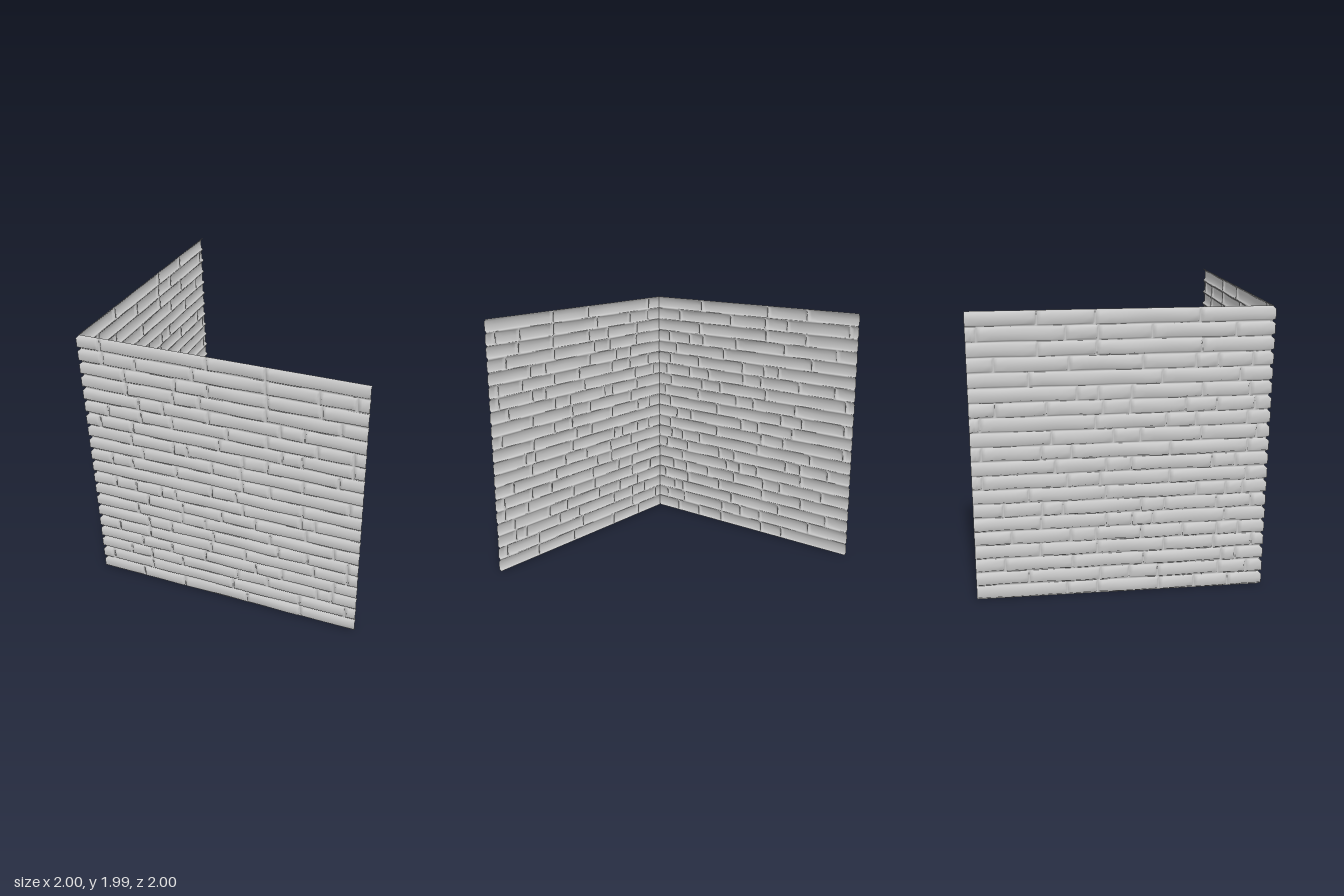
import * as THREE from 'three';
import { mergeGeometries } from 'three/addons/utils/BufferGeometryUtils.js';

const BASE = 0.979, RELIEF = 0.015, ROW = 0.0995;

// vertical joints of each course, bottom course first
const FRONT_JOINTS = [
  [-.66, -.32, .18, .59], [-.91, -.58, .07, .58, .92], [-.75, -.58, -.33, .11, .34, .71, .82],
  [-.65, -.41, -.14, .25, .45, .83], [-.83, -.58, -.09, .17, .68, .92], [-.58, -.4, -.07, .42, .63, .92],
  [-.66, -.31, -.13, .36, .82], [-.57, -.3, 0, .25, .62], [-.82, -.66, -.46, -.35, .16, .58, .68],
  [-.07, .11, .59], [-.83, -.67, -.33, .16, .36, .91], [-.58, -.06, .15, .59],
  [-.66, -.34, -.24, .17, .34, .83], [-.89, -.64, 0, .44, .58, .92], [-.82, -.57, -.34, .06, .34, .68, .92],
  [-.58, -.4, -.07, .43, .59], [-.66, -.32, -.13, .33, .83], [-.67, -.3, -.07, .34, .7],
  [-.82, -.58, -.17, .33, .68, .92], [-.83, -.07, .33],
];
const SIDE_JOINTS = [
  [-.38, -.17, .26, .51, .75], [-.64, -.15, .05, .25, .68, .88], [-.8, -.34, .15, .7, .8],
  [-.56, -.17, .29, .64, .91], [-.75, -.35, -.18, .13, .42, .66, .81], [-.55, -.11, .07, .21, .71],
  [-.8, -.54, -.4, .13, .29, .65, .89], [-.63, -.11, .51, .71, .83], [-.93, -.37, -.15, .32, .85],
  [-.45, -.11, .06, .61, .77], [-.93, -.54, -.34, .32, .85], [-.47, -.06, .12, .53, .91],
  [-.93, -.18, .29, .49, .84], [-.83, -.5, -.13, .05, .42, .63, .89], [-.3, -.16, .06, .53, .85],
  [-.61, .26, .78], [-.83, -.35, .13, .48, .63, .86], [-.55, -.17, .52],
  [-.93, -.37, -.16, .19, .74], [-.55, -.18, .5],
];

function seeded(seed) {
  return () => {
    seed = (seed * 16807) % 2147483647;
    return seed / 2147483647;
  };
}

// One raised brick with its half of the surrounding mortar, as a grid patch
function brick(u0, u1, y0, place, corner, rand) {
  // columns and rows as [position, height 0..1, is it a soft edge]
  const cols = u0 === -1 ? [[u0, 1]] : [[u0, 0], [u0 + .005, 0], [u0 + .015, 1]];
  const first = u0 + .03, last = u1 - .03;
  const n = Math.max(1, Math.round((last - first) / .06));
  for (let i = 0; i <= n; i++) cols.push([first + (last - first) * i / n, 1]);
  cols.push(...(u1 === 1 ? [[u1, 1]] : [[u1 - .015, 1], [u1 - .005, 0], [u1, 0]]));
  const rows = [[0, 0], [.005, 0], [.015, 1], [.05, 1], [.08, 1], [.094, 0], [ROW, 0]];

  const depth = .8 + .2 * rand(), tilt = (rand() - .5) * .012, phase = rand() * 6;
  const slant = (rand() - .5) * .1, pos = [], index = [];
  cols.forEach(([u, hu]) => rows.forEach(([v, hv], j) => {
    const edge = j > 0 && j < rows.length - 1;
    const t = (u - u0) / (u1 - u0) - .5;
    const wave = edge ? Math.sin(u * 13 + phase) * .002 + tilt * t * .6 : 0;
    const atEnd = Math.abs(u) === 1;
    const lean = edge && !atEnd && u > u0 && u < u1 ? slant * (v - ROW / 2) : 0;
    const wear = 1 - .1 * (1 + Math.sin(u * 9 + v * 30 + phase));
    const h = hu * hv * RELIEF * (u === corner ? 1 : depth * wear + .1);
    pos.push(...place(u === corner ? corner * (BASE + h) : u + lean, y0 + v + wave, BASE + h));
  }));
  const m = rows.length;
  for (let i = 0; i < cols.length - 1; i++) {
    for (let j = 0; j < m - 1; j++) {
      const a = i * m + j, b = a + m;
      index.push(a, b, b + 1, a, b + 1, a + 1);
    }
  }
  const geo = new THREE.BufferGeometry();
  geo.setAttribute('position', new THREE.Float32BufferAttribute(pos, 3));
  geo.setIndex(index);
  geo.computeVertexNormals();
  return geo;
}

// A sheet of brick courses; place maps (along, up, outward) to x, y, z
function wall(name, courses, place, corner, seed, material) {
  const rand = seeded(seed), parts = [];
  courses.forEach((joints, r) => {
    const ends = [-1, ...joints, 1];
    for (let i = 0; i < ends.length - 1; i++) {
      parts.push(brick(ends[i], ends[i + 1], r * ROW, place, corner, rand));
    }
  });
  const mesh = new THREE.Mesh(mergeGeometries(parts), material);
  mesh.name = name;
  return mesh;
}

export function createModel() {
  const group = new THREE.Group();
  group.name = 'brickCorner';
  const material = new THREE.MeshStandardMaterial({ color: 0xcccccc, side: THREE.DoubleSide });
  // front wall faces +z, side wall faces -x; they meet at x = -1, z = 1
  group.add(wall('frontWall', FRONT_JOINTS, (u, y, d) => [u, y, d], -1, 71, material));
  group.add(wall('sideWall', SIDE_JOINTS, (u, y, d) => [-d, y, u], 1, 977, material));
  return group;
}
